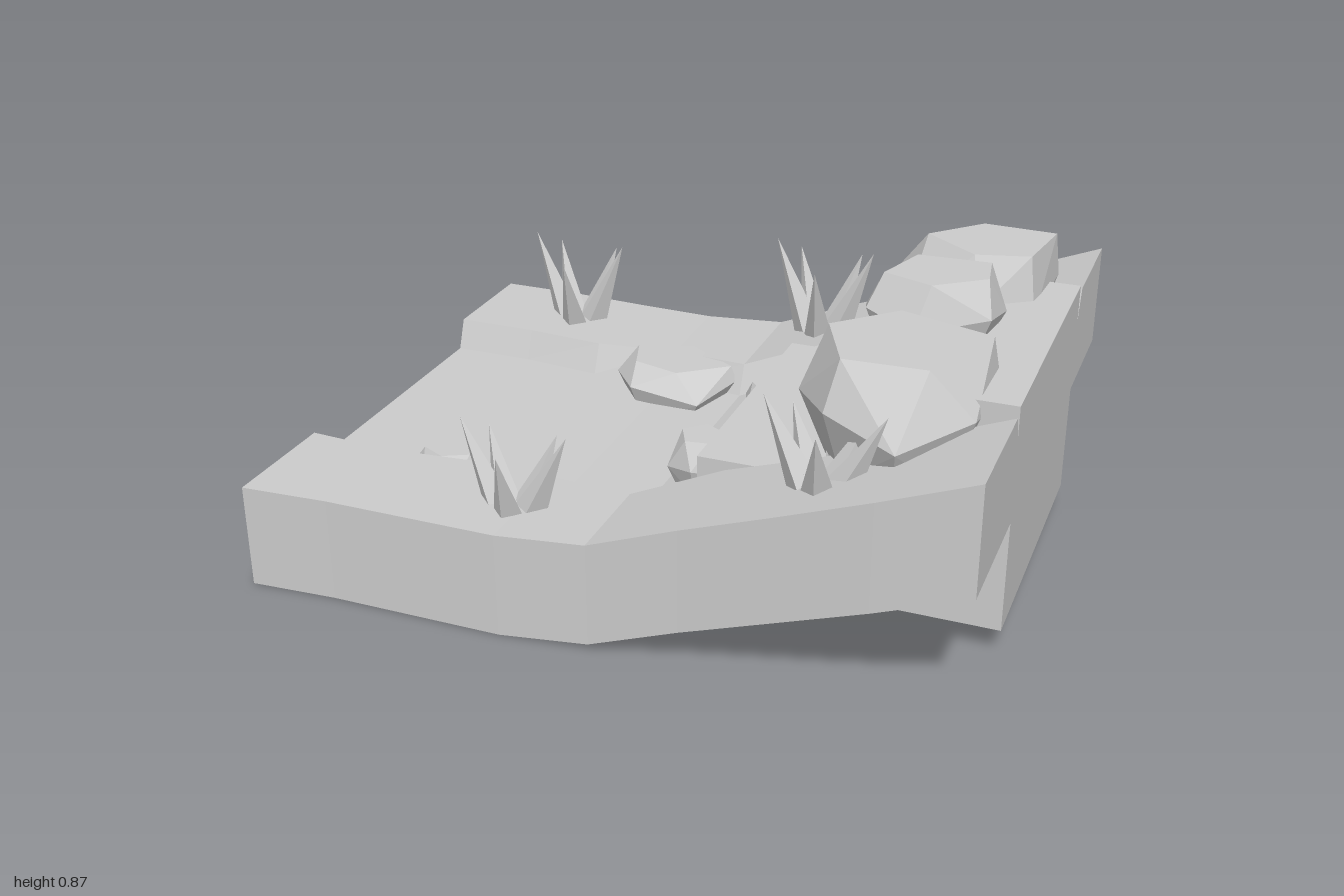
import * as THREE from 'three';
import { ConvexGeometry } from 'three/addons/geometries/ConvexGeometry.js';

const stone = new THREE.MeshStandardMaterial({ color: 0xcccccc });
stone.name = 'stoneGrey';

function add(group, name, geometry) {
  const mesh = new THREE.Mesh(geometry, stone);
  mesh.name = name;
  group.add(mesh);
  return mesh;
}

// Sloping ground with a sunken stream bed, lofted along x.
// Each station: x, bottom, top, front side, front bank, bank foot, back bank foot, back bank, back side
function groundGeometry() {
  const stations = [
    [-1, 0, 0.3, 0.8, 0.445, 0.41, -0.42, -0.455, -0.8],
    [-0.75, 0, 0.3, 0.785, 0.46, 0.42, -0.42, -0.455, -0.8],
    [-0.5, 0, 0.3, 0.785, 0.435, 0.395, -0.395, -0.435, -0.785],
    [-0.25, 0, 0.3, 0.785, 0.44, 0.405, -0.43, -0.465, -0.775],
    [0, 0.02, 0.315, 0.77, 0.48, 0.44, -0.38, -0.42, -0.78],
    [0.25, 0.115, 0.41, 0.77, 0.43, 0.39, -0.41, -0.455, -0.8],
    [0.5, 0.21, 0.505, 0.785, 0.46, 0.42, -0.44, -0.475, -0.785],
    [0.75, 0.305, 0.603, 0.8, 0.45, 0.41, -0.43, -0.46, -0.79],
    [1, 0.4, 0.7, 0.8, 0.445, 0.41, -0.42, -0.455, -0.8],
  ];
  const rings = stations.map(([x, b, t, fs, fb, ff, bf, bb, bs]) => [
    [x, b, fs], [x, t, fs], [x, t, fb], [x, t - 0.09, ff],
    [x, t - 0.09, bf], [x, t, bb], [x, t, bs], [x, b, bs],
  ]);
  const pos = [];
  const tri = (a, b, c) => pos.push(...a, ...b, ...c);
  for (let i = 0; i < rings.length - 1; i++) {
    for (let j = 0; j < 8; j++) {
      const k = (j + 1) % 8;
      const a = rings[i][j], b = rings[i + 1][j], c = rings[i + 1][k], d = rings[i][k];
      tri(a, b, c);
      tri(a, c, d);
    }
  }
  // End faces
  const first = rings[0], last = rings[rings.length - 1];
  for (const [a, b, c] of [[0, 1, 2], [0, 2, 3], [0, 3, 4], [0, 4, 7], [7, 4, 5], [7, 5, 6]]) {
    tri(first[a], first[b], first[c]);
    tri(last[c], last[b], last[a]);
  }
  const g = new THREE.BufferGeometry();
  g.setAttribute('position', new THREE.Float32BufferAttribute(pos, 3));
  g.computeVertexNormals();
  return g;
}

// Faceted rock from a flat top outline and a wider middle outline, both [x, z]
function rockGeometry(top, yTop, mid, yMid, yBottom) {
  const cx = mid.reduce((s, p) => s + p[0], 0) / mid.length;
  const cz = mid.reduce((s, p) => s + p[1], 0) / mid.length;
  const points = [];
  for (const [x, z] of top) points.push(new THREE.Vector3(x, yTop, z));
  mid.forEach(([x, z], i) => {
    points.push(new THREE.Vector3(x, yMid + (i % 2 ? 0.02 : -0.02) * (yTop - yBottom) * 3, z));
    points.push(new THREE.Vector3(cx + (x - cx) * 0.7, yBottom, cz + (z - cz) * 0.7));
  });
  return new ConvexGeometry(points);
}

// Small pebble: five-sided top, six-sided middle
function pebbleGeometry(x, z, rx, rz, yBottom, yTop, turn) {
  const ring = (n, r, t) => Array.from({ length: n }, (_, i) => {
    const a = t + (i / n) * Math.PI * 2;
    return [x + Math.cos(a) * rx * r, z + Math.sin(a) * rz * r];
  });
  const yMid = yBottom + (yTop - yBottom) * 0.5;
  return rockGeometry(ring(5, 0.65, turn + 0.3), yTop, ring(6, 1, turn), yMid, yBottom);
}

// Spiky plant: five pointed leaves leaning outwards
function spikyPlant(x, y, z, depth, height) {
  const plant = new THREE.Group();
  plant.name = 'spikyPlant';
  const tips = [
    [-0.16, 0.26, -0.03], [0.16, 0.26, 0], [0.02, 0.23, 0.155],
    [-0.1, 0.22, -0.09], [0.1, 0.22, -0.09],
  ];
  const up = new THREE.Vector3(0, 1, 0);
  for (const [tx, ty, tz] of tips) {
    const tip = new THREE.Vector3(tx, ty * height, tz * depth);
    const base = new THREE.Vector3(tx * 0.3, -0.02, tz * 0.3 * depth);
    const dir = tip.clone().sub(base);
    const cone = new THREE.ConeGeometry(0.046, dir.length(), 4).toNonIndexed();
    cone.computeVertexNormals();
    const leaf = add(plant, 'leaf', cone);
    leaf.position.copy(base).addScaledVector(dir, 0.5);
    leaf.quaternion.setFromUnitVectors(up, dir.normalize());
  }
  plant.position.set(x, y, z);
  return plant;
}

export function createModel() {
  const model = new THREE.Group();
  model.name = 'streamSlope';
  add(model, 'ground', groundGeometry());

  // Stepped block set in the stream bed
  const box = (name, x0, x1, y0, y1, halfZ) =>
    add(model, name, new THREE.BoxGeometry(x1 - x0, y1 - y0, halfZ * 2))
      .position.set((x0 + x1) / 2, (y0 + y1) / 2, 0);
  box('lowerStep', 0.16, 0.52, 0.085, 0.42, 0.4);
  box('upperStep', 0.52, 1, 0.085, 0.72, 0.42);

  // Boulders on the upper step
  add(model, 'backBoulder', rockGeometry(
    [[0.7, -0.5], [0.91, -0.49], [0.88, -0.28], [0.73, -0.24], [0.57, -0.36]], 0.84,
    [[0.745, -0.6], [0.92, -0.52], [0.905, -0.25], [0.765, -0.165], [0.55, -0.2], [0.475, -0.41]], 0.69, 0.5));
  add(model, 'middleBoulder', rockGeometry(
    [[0.6, -0.12], [0.8, -0.13], [0.82, -0.01], [0.69, 0.09], [0.55, 0.04]], 0.865,
    [[0.58, -0.17], [0.74, -0.2], [0.855, -0.1], [0.845, 0.05], [0.66, 0.145], [0.515, 0.08], [0.49, -0.015]], 0.76, 0.63));
  add(model, 'frontBoulder', rockGeometry(
    [[0.63, 0.15], [0.89, 0.23], [0.79, 0.49], [0.57, 0.5], [0.48, 0.3]], 0.81,
    [[0.6, 0.13], [0.76, 0.11], [0.915, 0.2], [0.905, 0.465], [0.75, 0.63], [0.545, 0.55], [0.42, 0.35], [0.44, 0.24]], 0.66, 0.47));

  // Flat rock in the back bank
  add(model, 'bankRock', rockGeometry(
    [[-0.2, -0.51], [-0.04, -0.41], [-0.18, -0.3], [-0.33, -0.34], [-0.37, -0.46]], 0.306,
    [[-0.2, -0.53], [-0.02, -0.41], [-0.085, -0.23], [-0.31, -0.245], [-0.415, -0.39], [-0.385, -0.475]], 0.25, 0.14));

  // Pebbles: x, z, half width, half depth, bottom, top, turn
  for (const p of [
    [0.4, -0.36, 0.11, 0.1, 0.36, 0.49, 0.2],
    [0.15, -0.23, 0.08, 0.1, 0.24, 0.36, 0.1],
    [0.1, 0.2, 0.1, 0.1, 0.22, 0.38, 0.5],
    [-0.605, 0.365, 0.115, 0.08, 0.16, 0.285, 0],
    [0.34, 0.46, 0.1, 0.085, 0.12, 0.25, 0.5],
    [0.53, -0.45, 0.1, 0.085, 0.13, 0.27, 0.5],
  ]) add(model, 'pebble', pebbleGeometry(...p));

  // Plants on both banks
  model.add(spikyPlant(-0.66, 0.3, -0.635, 1, 1));
  model.add(spikyPlant(0.18, 0.39, -0.635, 1, 1));
  model.add(spikyPlant(-0.28, 0.3, 0.61, 0.8, 0.84));
  model.add(spikyPlant(0.565, 0.53, 0.61, 0.8, 0.76));
  return model;
}
